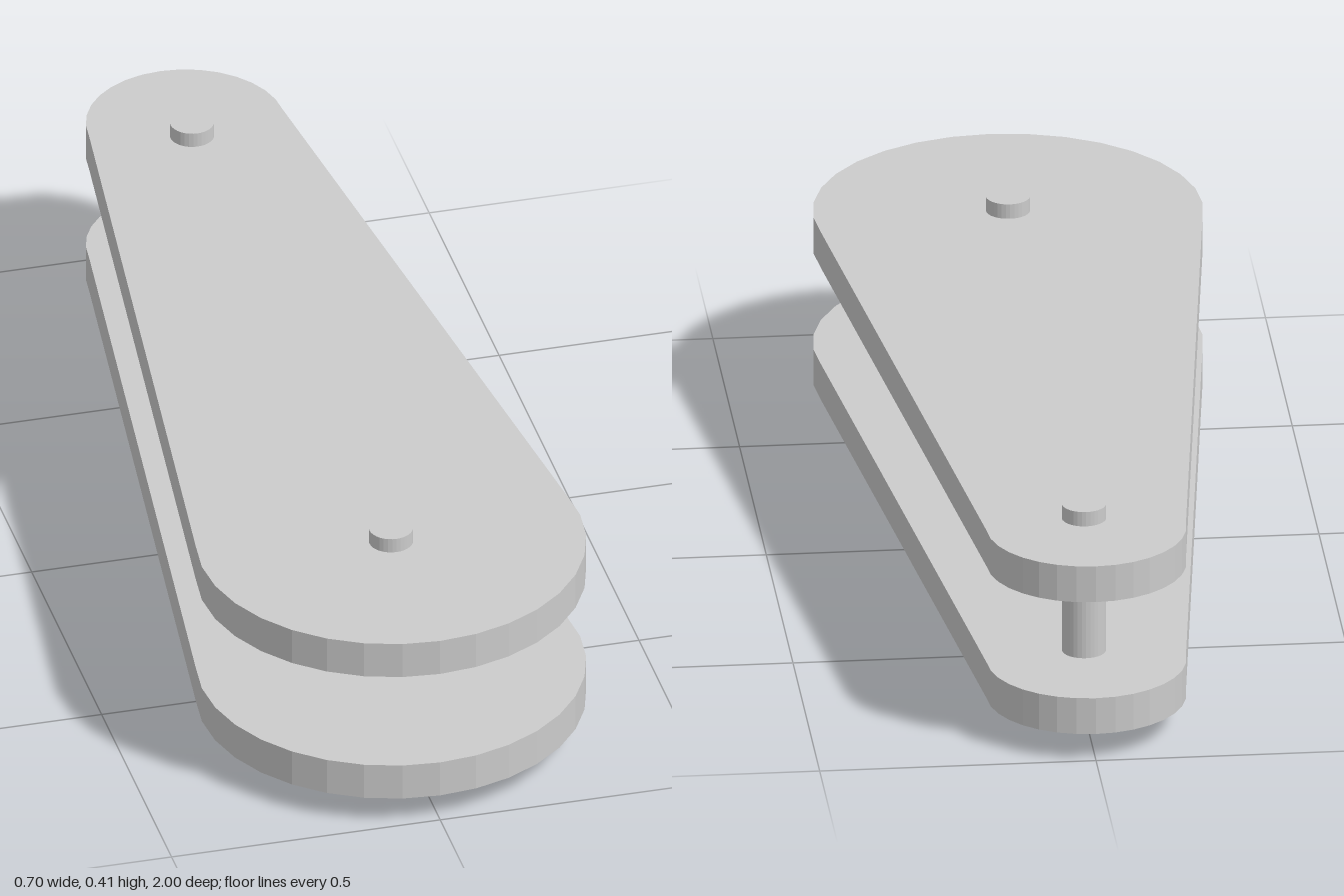
import * as THREE from 'three';

const SIDES = 32;
const material = new THREE.MeshStandardMaterial({ color: 0xcccccc, flatShading: true });

// Tapered plate: a wide rounded front end joined by straight sides to a narrow rounded back end
function taperedPlate(name, front, back, bottom, height) {
  const points = [];
  const arc = (end, from, to) => {
    for (let k = from; k <= to; k++) {
      const a = (k / SIDES) * Math.PI * 2;
      points.push(new THREE.Vector2(end.r * Math.cos(a), -end.z + end.r * Math.sin(a)));
    }
  };
  arc(back, 0, SIDES / 2);
  arc(front, SIDES / 2 - 1, SIDES + 1);
  const geometry = new THREE.ExtrudeGeometry(new THREE.Shape(points), {
    depth: height, bevelEnabled: false,
  });
  geometry.rotateX(-Math.PI / 2);
  geometry.translate(0, bottom, 0);
  const mesh = new THREE.Mesh(geometry, material);
  mesh.name = name;
  return mesh;
}

// Upright pin running through all plates
function pin(name, z) {
  const height = 0.408;
  const mesh = new THREE.Mesh(new THREE.CylinderGeometry(0.04, 0.04, height, SIDES), material);
  mesh.position.set(0, height / 2, z);
  mesh.name = name;
  return mesh;
}

export function createModel() {
  const group = new THREE.Group();
  group.name = 'linkedPlates';

  // Two matching plates, one above the other
  const front = { z: 0.648, r: 0.352 };
  const back = { z: -0.82, r: 0.18 };
  group.add(taperedPlate('lowerPlate', front, back, 0.052, 0.07));
  group.add(taperedPlate('upperPlate', front, back, 0.31, 0.07));

  // Thin smaller plate under the lower one
  group.add(taperedPlate('basePad', { z: 0.648, r: 0.31 }, { z: -0.728, r: 0.163 }, 0.029, 0.023));

  // Pins at both ends
  group.add(pin('frontPin', 0.648), pin('backPin', -0.775));
  return group;
}
